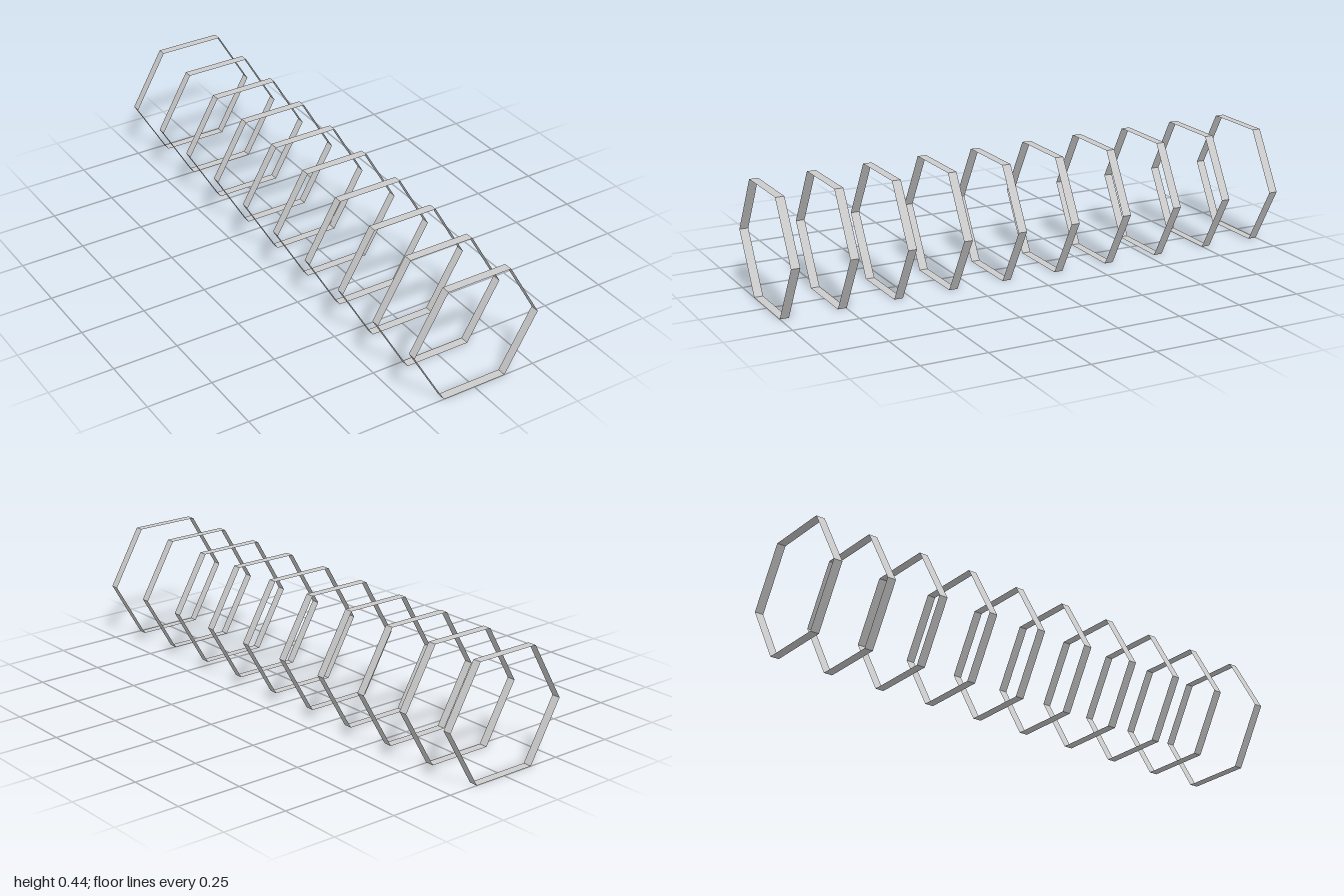
import * as THREE from 'three';

const RING_COUNT = 10;
const RADIUS = 0.256;
const BAND_WIDTH = 0.034;

export function createModel() {
  const model = new THREE.Group();
  model.name = 'hexagonalRings';

  const material = new THREE.MeshStandardMaterial({
    color: 0xcccccc,
    flatShading: true,
    side: THREE.DoubleSide,
  });

  // Open hexagonal band along z, with flat top and bottom and corners on the x axis
  const band = new THREE.CylinderGeometry(RADIUS, RADIUS, BAND_WIDTH, 6, 1, true, Math.PI / 6);
  band.rotateX(Math.PI / 2);

  // Evenly spaced row of bands resting on the ground
  const length = 2 - BAND_WIDTH;
  for (let i = 0; i < RING_COUNT; i++) {
    const ring = new THREE.Mesh(band, material);
    ring.name = `hexagonRing${i + 1}`;
    ring.position.set(0, RADIUS * Math.cos(Math.PI / 6), length * (0.5 - i / (RING_COUNT - 1)));
    model.add(ring);
  }
  return model;
}
